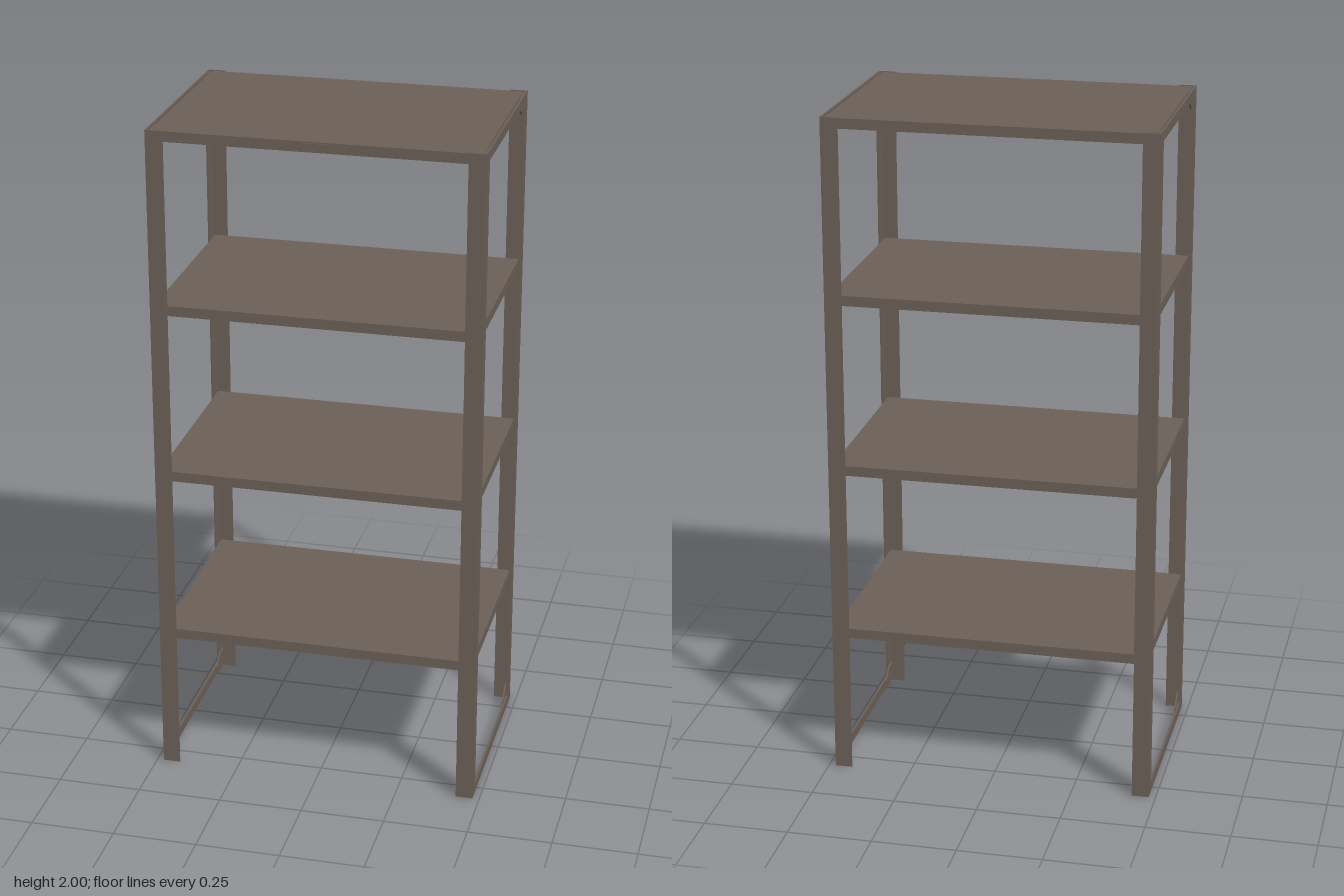
import * as THREE from 'three';

const H = 2, X = 0.48, Z = 0.315;        // overall height, half width, half depth
const SX = 0.468, SZ = 0.311, SH = 0.03; // shelf half width, half depth, rim height
const SHELF_TOPS = [0.455, 0.97, 1.485, 1.998];
const BOLT_Z = [-0.17, 0.17];

const steel = new THREE.MeshStandardMaterial({ color: 0x6a5f57 });
steel.name = 'brown steel';

function add(parent, name, geo, x = 0, y = 0, z = 0) {
  const m = new THREE.Mesh(geo, steel);
  m.name = name;
  m.position.set(x, y, z);
  parent.add(m);
  return m;
}

const box = (w, h, d) => new THREE.BoxGeometry(w, h, d);

function rectPoints(w0, y0, w1, y1) {
  return [[w0, y0], [w1, y0], [w1, y1], [w0, y1]].map(p => new THREE.Vector2(...p));
}

function drill(shape, u, v, r = 0.005) {
  const hole = new THREE.Path();
  hole.absarc(u, v, r, 0, Math.PI * 2, true);
  shape.holes.push(hole);
}

// Sheet drawn in (depth, height) and given its thickness along x, centred on x = 0
function sheet(shape, t) {
  const g = new THREE.ExtrudeGeometry(shape, { depth: t, bevelEnabled: false, curveSegments: 5 });
  g.translate(0, 0, -t / 2);
  g.rotateY(Math.PI / 2);
  return g;
}

// Upright end frame: two leg sides joined by a foot rail and a top rail
function frameGeometry() {
  const s = new THREE.Shape(rectPoints(-Z, 0, Z, H));
  s.holes.push(new THREE.Path(rectPoints(-0.275, 0.03, 0.275, 1.972).reverse()));
  for (const y of [0.26, 0.69, 1.215, 1.74]) for (const z of [-0.295, 0.295]) drill(s, z, y);
  for (const z of BOLT_Z) drill(s, z, 1.986);
  return sheet(s, 0.007);
}

// Corner brace plate with a cut corner
function gussetGeometry(zs, top) {
  const pts = [[0.31, 0.005], [0.235, 0.005], [0.235, 0.03], [0.275, 0.062], [0.31, 0.062]]
    .map(([z, y]) => new THREE.Vector2(-z * zs, top ? H - y : y));
  return sheet(new THREE.Shape(pts), 0.005);
}

// Folded pan: flat sheet with four rims, open underneath
function makeShelf() {
  const g = new THREE.Group();
  g.name = 'shelf';
  const t = 0.004;
  add(g, 'shelfTop', box(SX * 2, t, SZ * 2), 0, -t / 2, 0);
  const end = new THREE.Shape(rectPoints(-SZ, -SH, SZ, -t));
  for (const z of BOLT_Z) drill(end, z, -SH / 2 + 0.001);
  const endGeo = sheet(end, t);
  for (const s of [-1, 1]) {
    add(g, 'shelfEndRim', endGeo, s * (SX - t / 2), 0, 0);
    add(g, 'shelfLongRim', box((SX - t) * 2, SH - t, t), 0, -(SH + t) / 2, s * (SZ - t / 2));
  }
  return g;
}

export function createModel() {
  const model = new THREE.Group();
  model.name = 'shelvingUnit';

  const frameGeo = frameGeometry();
  for (const sx of [-1, 1]) {
    const side = new THREE.Group();
    side.name = sx > 0 ? 'leftEndFrame' : 'rightEndFrame';
    model.add(side);
    add(side, 'endFrame', frameGeo, sx * (X - 0.0035), 0, 0);
    for (const sz of [-1, 1]) {
      // Wide leg of each angle post, facing front or back
      add(side, 'postFace', box(0.044, H, 0.004), sx * 0.451, H / 2, sz * (Z - 0.002));
      for (const top of [false, true]) {
        add(side, 'cornerGusset', gussetGeometry(sz, top), sx * 0.4705, 0, 0);
      }
    }
  }

  for (const y of SHELF_TOPS) {
    const shelf = makeShelf();
    shelf.position.y = y;
    model.add(shelf);
  }

  // Small blank plate on the front rim of the top shelf
  add(model, 'rimPlate', box(0.08, 0.02, 0.003), 0, 1.984, SZ + 0.0015);
  return model;
}
